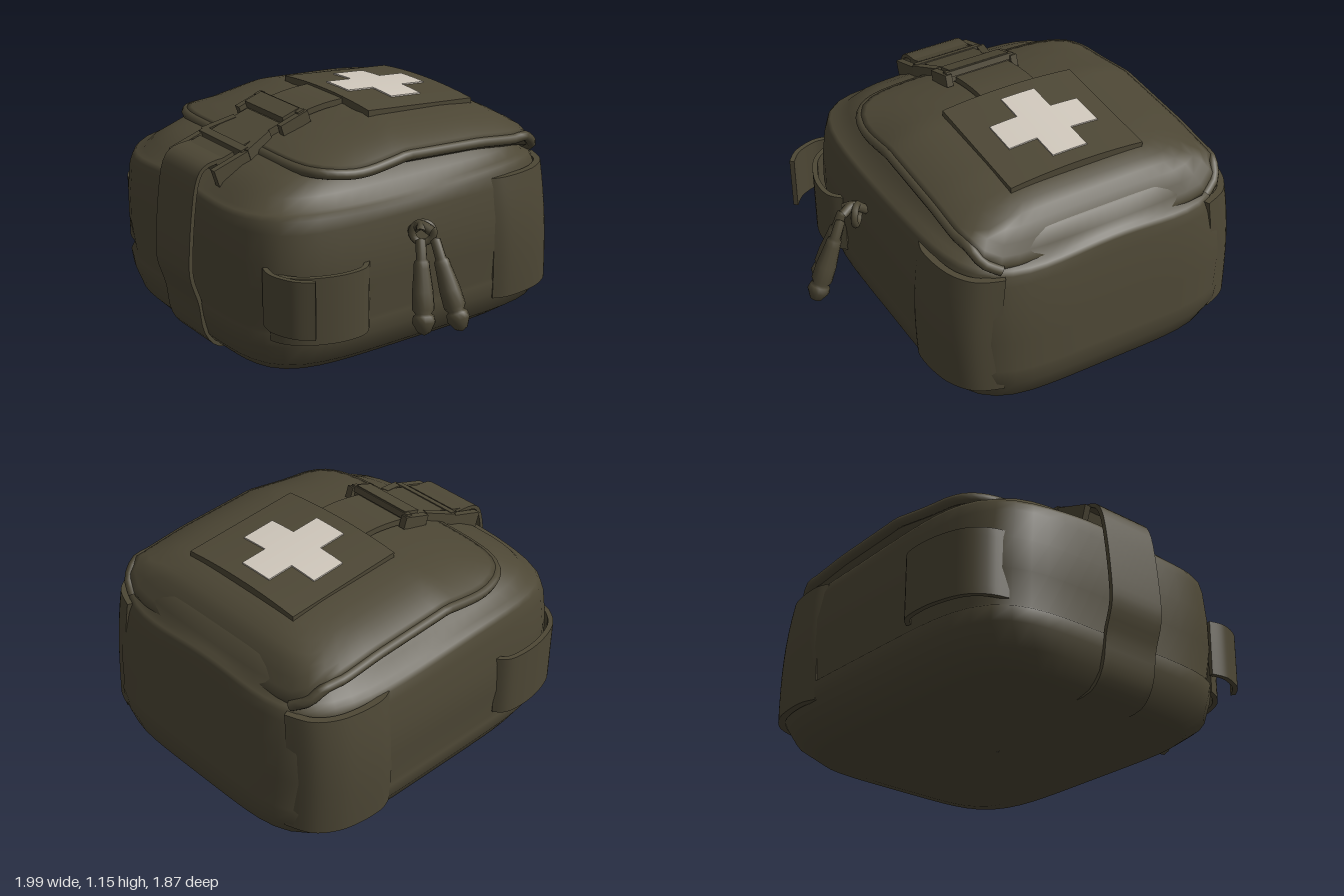
import * as THREE from 'three';
import { toCreasedNormals } from 'three/addons/utils/BufferGeometryUtils.js';

const CX = -0.145; // the pouch sits off centre because the zip pulls hang out to one side
const N = 72;

const fabric = new THREE.MeshStandardMaterial({ color: 0x4d4735 });
fabric.name = 'olive fabric';
const pale = new THREE.MeshStandardMaterial({ color: 0xd0c8bc });
pale.name = 'pale cross';

function add(parent, name, geometry, material = fabric) {
  const mesh = new THREE.Mesh(geometry, material);
  mesh.name = name;
  parent.add(mesh);
  return mesh;
}

// Softly squared outline point at step i; the back corners may be squarer than the front
function outline(i, x0, x1, z0, z1, front, back = front) {
  const a = (i / N) * Math.PI * 2, c = Math.cos(a), s = Math.sin(a);
  const n = s < 0 ? back : front;
  const r = 1 / Math.pow(Math.abs(c) ** n + Math.abs(s) ** n, 1 / n);
  return [(x0 + x1) / 2 + ((x1 - x0) / 2) * r * c, (z0 + z1) / 2 + ((z1 - z0) / 2) * r * s];
}

// Skin over closed rings, given from bottom to top
function loft(rings) {
  const pos = rings.flat(2), idx = [];
  for (let j = 0; j < rings.length - 1; j++) {
    for (let i = 0; i < N; i++) {
      const a = j * N + i, b = j * N + ((i + 1) % N);
      idx.push(a, a + N, b, b, a + N, b + N);
    }
  }
  const g = new THREE.BufferGeometry();
  g.setAttribute('position', new THREE.Float32BufferAttribute(pos, 3));
  g.setIndex(idx);
  g.computeVertexNormals();
  return g;
}

const ring = (f) => Array.from({ length: N }, (_, i) => f(i));

// Piecewise-linear lookup
function lookup(table, t) {
  for (let i = 1; i < table.length; i++) {
    const [a, ya] = table[i - 1], [b, yb] = table[i];
    if (t <= b) return ya + (yb - ya) * Math.max(0, (t - a) / (b - a));
  }
  return table[table.length - 1][1];
}

// Webbing: a thickened curve in plan (x, z) or in profile (z, y), extruded over its width
function webbing(points, thick, from, to, profile = false) {
  const curve = new THREE.SplineCurve(points.map(([a, b]) =>
    profile ? new THREE.Vector2(-a, b) : new THREE.Vector2(a, -b)));
  const sides = [[], []];
  for (let i = 0; i <= 28; i++) {
    const p = curve.getPoint(i / 28), t = curve.getTangent(i / 28);
    const n = new THREE.Vector2(-t.y, t.x).multiplyScalar(thick / 2);
    sides[0].push(p.clone().add(n));
    sides[1].unshift(p.clone().sub(n));
  }
  const g = new THREE.ExtrudeGeometry(new THREE.Shape([...sides[0], ...sides[1]]),
    { depth: to - from, steps: 8, bevelEnabled: false });
  g.translate(0, 0, from);
  if (profile) g.rotateY(Math.PI / 2); else g.rotateX(-Math.PI / 2);
  return toCreasedNormals(g, 0.7);
}

// Lean an upright panel inwards towards its top, following the body wall
function lean(g) {
  const p = g.attributes.position;
  for (let i = 0; i < p.count; i++) {
    const t = (p.getY(i) - 0.4) / 0.4;
    p.setX(i, CX + (p.getX(i) - CX) * (1 - (t > 0 ? 0.05 : 0.025) * t * t));
    p.setZ(i, p.getZ(i) * (1 - 0.025 * t));
  }
  return toCreasedNormals(g, 0.7);
}

// Flap height: crowned along z, falling away at both sides
const crown = [[-0.82, 0.83], [-0.78, 0.9], [-0.72, 1.0], [-0.6, 1.06], [-0.4, 1.085],
  [0.05, 1.11], [0.3, 1.07], [0.45, 1.03], [0.56, 0.99]];
const flapY = (x, z) => lookup(crown, z) - 0.11 * Math.min(1, Math.abs(x - CX) / 0.69) ** 4
  * (z < -0.6 ? Math.max(0, (z + 0.82) / 0.22) : z > 0.3 ? 1 - (z - 0.3) * 2.6 : 1);

// Thin plate lying on the flap, bent with it
function plate(x0, x1, z0, z1, lift, thick) {
  const g = new THREE.BoxGeometry(x1 - x0, thick, z1 - z0, 10, 1, 4);
  g.translate((x0 + x1) / 2, lift, (z0 + z1) / 2);
  const p = g.attributes.position;
  for (let i = 0; i < p.count; i++) {
    const x = p.getX(i), z = p.getZ(i);
    p.setY(i, p.getY(i) + 1.136 + 0.08 * (z - 0.05) - 0.16 * (x + 0.13) ** 2);
  }
  return toCreasedNormals(g, 0.7);
}

export function createModel() {
  const model = new THREE.Group();
  model.name = 'medicPouch';

  // Padded body with a base guard, a main wall, a zip lip and a rounded shoulder
  const levels = [ // y, x0, x1, z0, z1
    [0, -0.147, -0.143, -0.01, 0.01], [0.004, -0.62, 0.4, -0.73, 0.69], [0.03, -0.77, 0.52, -0.82, 0.78],
    [0.1, -0.88, 0.615, -0.89, 0.845], [0.2, -0.94, 0.64, -0.925, 0.87], [0.27, -0.945, 0.648, -0.93, 0.88],
    [0.285, -0.93, 0.635, -0.927, 0.862], [0.45, -0.95, 0.655, -0.915, 0.88], [0.6, -0.945, 0.65, -0.9, 0.88],
    [0.75, -0.92, 0.63, -0.875, 0.872], [0.805, -0.905, 0.615, -0.86, 0.86], [0.828, -0.89, 0.6, -0.85, 0.845],
    [0.835, -0.855, 0.565, -0.825, 0.815], [0.88, -0.81, 0.52, -0.805, 0.775], [0.94, -0.75, 0.46, -0.76, 0.67],
    [0.985, -0.66, 0.37, -0.69, 0.52], [1.0, -0.15, -0.14, -0.01, 0.01]];
  add(model, 'body', loft(levels.map(([y, ...box]) => ring((i) => {
    const [x, z] = outline(i, ...box, 5);
    const wave = y > 0.79 && y < 0.84 ? 0.012 * Math.sin(x * 7 + z * 4) : 0;
    return [x, y + wave, z];
  }))));

  // Domed flap with a tucked-under edge
  const flapEdge = (i) => outline(i, -0.82, 0.53, -0.815, 0.545, 6, 10);
  const flapRing = (s, drop = 0) => ring((i) => {
    const [ex, ez] = flapEdge(i);
    const x = CX + (ex - CX) * s, z = -0.135 + (ez + 0.135) * s;
    return [x, flapY(x, z) - drop, z];
  });
  add(model, 'flap', loft([flapRing(0.93, 0.1), flapRing(0.985, 0.05),
    ...[1, 0.97, 0.93, 0.88, 0.82, 0.75, 0.65, 0.5, 0.3, 0.001].map((s) => flapRing(s))]));

  // Piping along the sides and front of the flap, open at the back
  const pipe = new THREE.CatmullRomCurve3(flapRing(1, 0.025).map((p) => new THREE.Vector3(...p))
    .map((_, i, all) => all[(i + 62) % N]).slice(0, 57));
  add(model, 'flapPiping', new THREE.TubeGeometry(pipe, 100, 0.026, 8));

  // Patch and pale cross
  add(model, 'patch', plate(-0.48, 0.235, -0.585, 0.05, -0.01, 0.045));
  const cross = new THREE.Group();
  cross.name = 'cross';
  model.add(cross);
  add(cross, 'crossBar', plate(-0.225, -0.04, -0.5, -0.03, 0.015, 0.008), pale);
  add(cross, 'crossLeftArm', plate(-0.04, 0.11, -0.36, -0.18, 0.015, 0.008), pale);
  add(cross, 'crossRightArm', plate(-0.375, -0.225, -0.36, -0.18, 0.015, 0.008), pale);

  // Closing strap down the front and its upper half on the flap
  add(model, 'frontStrap', webbing([[0.66, 0.015], [0.79, 0.03], [0.86, 0.12], [0.885, 0.27], [0.925, 0.4],
    [0.927, 0.52], [0.905, 0.74], [0.875, 0.89], [0.82, 0.95], [0.7, 0.965]], 0.02, -0.285, 0.03, true));
  add(model, 'flapStrap', webbing([[0, 1.12], [0.15, 1.115], [0.3, 1.09], [0.45, 1.045]], 0.03, -0.28, 0.02, true));

  // Side-release buckle, tilted with the slope of the flap
  const buckle = new THREE.Group();
  buckle.name = 'buckle';
  buckle.position.set(-0.12, 1.015, 0.53);
  buckle.rotation.x = 0.32;
  model.add(buckle);
  const block = (name, w, h, d, x, y, z) =>
    add(buckle, name, new THREE.BoxGeometry(w, h, d)).position.set(x, y, z);
  block('buckleCore', 0.29, 0.06, 0.26, 0, -0.005, 0.0);
  block('buckleRearLoop', 0.33, 0.06, 0.1, 0, 0.025, -0.19);
  block('buckleRearBar', 0.38, 0.03, 0.035, 0, 0.035, -0.23);
  block('buckleFrontBar', 0.38, 0.06, 0.04, 0, 0.0, 0.11);
  block('buckleFrontLoop', 0.3, 0.08, 0.1, 0, -0.015, 0.2);
  for (const s of [-1, 1]) {
    block('buckleRearSide', 0.035, 0.06, 0.16, s * 0.185, 0.01, -0.18);
    block('buckleFrontSide', 0.035, 0.09, 0.2, s * 0.19, -0.025, 0.2);
    const prong = add(buckle, 'buckleProng', new THREE.BoxGeometry(0.04, 0.055, 0.17));
    prong.position.set(s * 0.165, 0, 0.03);
    prong.rotation.y = s * 0.3;
  }

  // Webbing loops at the front corners, with one loose tail
  add(model, 'leftFrontLoop', webbing([[0.635, 0.35], [0.695, 0.42], [0.695, 0.55], [0.64, 0.69], [0.57, 0.76],
    [0.5, 0.79]], 0.025, 0.24, 0.57));
  add(model, 'leftLooseTail', webbing([[0.49, 0.815], [0.58, 0.83], [0.69, 0.79], [0.755, 0.72]], 0.025, 0.32, 0.6));
  add(model, 'rightFrontLoop', webbing([[-0.93, 0.3], [-0.98, 0.36], [-0.985, 0.52], [-0.94, 0.68],
    [-0.86, 0.76], [-0.77, 0.79]], 0.025, 0.31, 0.635));

  // Wing panels hugging the back corners
  for (const side of [1, -1]) {
    const path = [[0.78, -0.41], [0.805, -0.48], [0.8, -0.6], [0.77, -0.71], [0.7, -0.8], [0.58, -0.85]]
      .map(([x, z]) => [CX + side * x, z]);
    add(model, side > 0 ? 'leftRearWing' : 'rightRearWing', lean(webbing(path, 0.035, 0.18, 0.8)));
  }

  // Zip pulls hanging from a ring
  const pulls = new THREE.Group();
  pulls.name = 'zipPulls';
  model.add(pulls);
  const link = add(pulls, 'pullRing', new THREE.TorusGeometry(0.05, 0.018, 8, 20));
  link.position.set(0.7, 0.665, 0.08);
  link.rotation.y = 0.9;
  const profile = [[0, 0], [0.03, 0.015], [0.055, 0.06], [0.05, 0.09], [0.038, 0.1], [0.052, 0.12], [0.05, 0.2],
    [0.038, 0.31], [0.036, 0.34], [0.026, 0.35], [0.024, 0.44], [0, 0.45]].map((p) => new THREE.Vector2(...p));
  for (const [top, end] of [[[0.775, 0.69, 0.08], [0.965, 0.255, 0.05]], [[0.745, 0.69, 0.13], [0.875, 0.24, 0.2]]]) {
    const a = new THREE.Vector3(...top), b = new THREE.Vector3(...end);
    const pull = add(pulls, 'zipPull', new THREE.LatheGeometry(profile, 12));
    pull.position.copy(b);
    pull.quaternion.setFromUnitVectors(new THREE.Vector3(0, 1, 0), a.clone().sub(b).normalize());
    const cord = new THREE.CatmullRomCurve3([new THREE.Vector3(0.64, 0.66, 0.1), new THREE.Vector3(0.71, 0.71, 0.1), a]);
    add(pulls, 'pullCord', new THREE.TubeGeometry(cord, 10, 0.024, 8));
  }
  return model;
}
